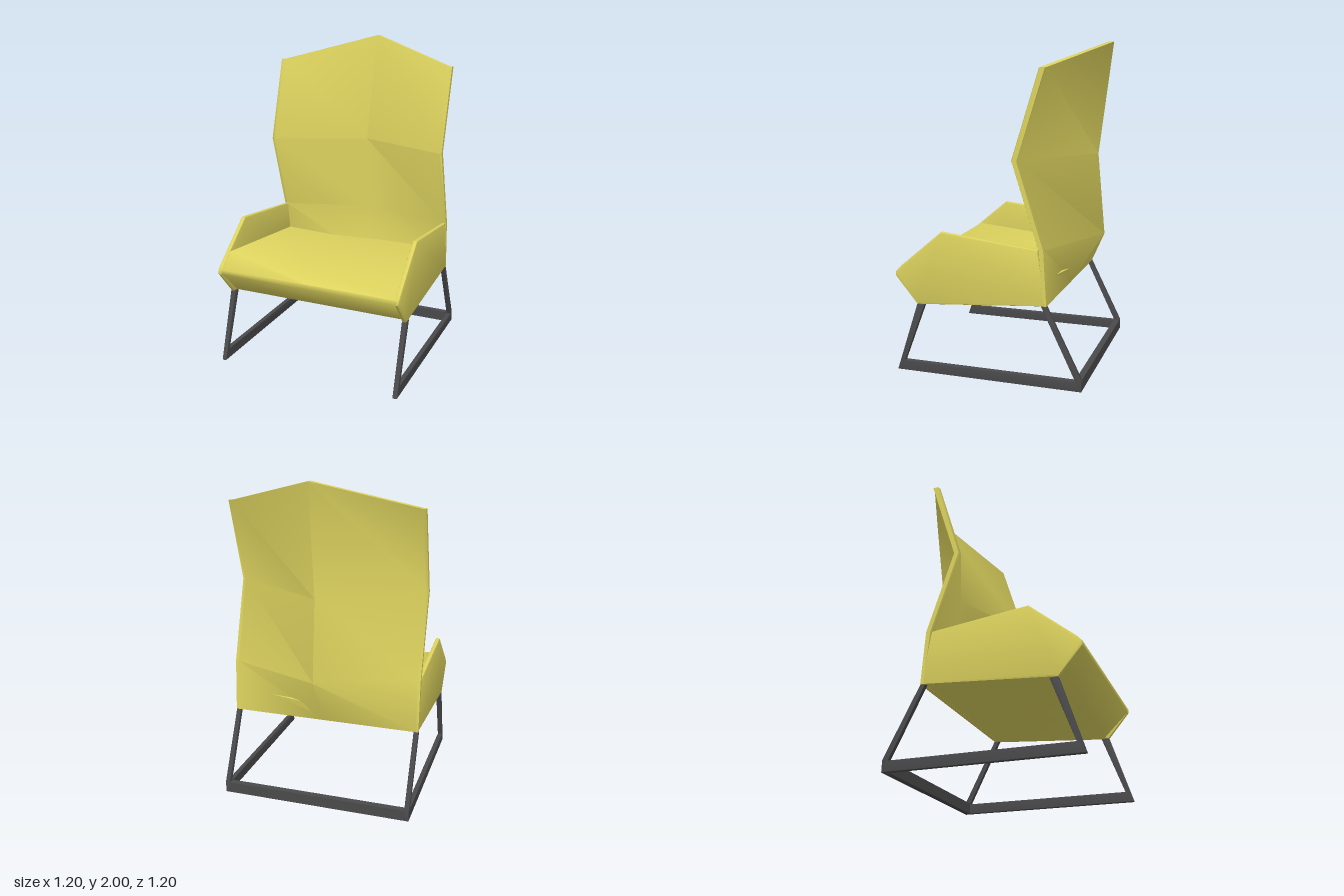
import * as THREE from 'three';
import { toCreasedNormals } from 'three/addons/utils/BufferGeometryUtils.js';

const HALF = 0.6, PANEL = 0.03;

// Skin closed [z, y] loops placed along +x; strip caps close both ends.
function loft(sections) {
  const pos = [];
  const pts = sections.map(({ x, loop }) => loop.map(([z, y]) => [x, y, z]));
  const quad = (a, b, c, d) => pos.push(...a, ...b, ...c, ...a, ...c, ...d);
  const n = pts[0].length, first = pts[0], last = pts[pts.length - 1];
  for (let s = 0; s < pts.length - 1; s++) {
    for (let i = 0; i < n; i++) {
      const j = (i + 1) % n;
      quad(pts[s][i], pts[s][j], pts[s + 1][j], pts[s + 1][i]);
    }
  }
  for (let i = 0; i < n / 2 - 1; i++) {
    quad(last[i], last[i + 1], last[n - 2 - i], last[n - 1 - i]);
    quad(first[n - 1 - i], first[n - 2 - i], first[i + 1], first[i]);
  }
  const geometry = new THREE.BufferGeometry();
  geometry.setAttribute('position', new THREE.Float32BufferAttribute(pos, 3));
  return toCreasedNormals(geometry, 0.9);
}

// Thin softened plate cut from a [z, y] outline, lying from x = -PANEL to 0.
function sidePlate(outline, bevel) {
  const shape = new THREE.Shape(outline.map(([z, y]) => new THREE.Vector2(z, y)));
  const geometry = new THREE.ExtrudeGeometry(shape, {
    depth: PANEL - 2 * bevel, bevelThickness: bevel, bevelSize: bevel,
    bevelOffset: -bevel, bevelSegments: 2,
  });
  geometry.translate(0, 0, bevel).rotateY(-Math.PI / 2);
  return toCreasedNormals(geometry, 0.7);
}

export function createModel() {
  const group = new THREE.Group();
  const upholstery = new THREE.MeshStandardMaterial({ color: 0xdcd25e });
  upholstery.name = 'yellow upholstery';
  const metal = new THREE.MeshStandardMaterial({ color: 0x4a4a4c });
  metal.name = 'dark metal';

  const add = (name, geometry, material, x = 0, y = 0, z = 0) => {
    const mesh = new THREE.Mesh(geometry, material);
    mesh.name = name;
    mesh.position.set(x, y, z);
    group.add(mesh);
  };

  // Backrest: folded along a centre spine and pinched forward halfway up
  const backEdge = [[-0.355, 0.49], [-0.335, 0.815], [-0.175, 1.32], [-0.34, 1.84]];
  const backSpine = [[-0.355, 0.49], [-0.562, 0.815], [-0.515, 1.32], [-0.6, 2]];
  const frontEdge = [[-0.33, 0.49], [-0.3, 0.815], [-0.138, 1.32], [-0.3, 1.84]];
  const frontSpine = [[-0.33, 0.49], [-0.47, 0.815], [-0.388, 1.32], [-0.565, 2]];
  const edge = [...backEdge, ...frontEdge.slice().reverse()];
  const rim = [...backEdge, ...frontEdge.map(([z, y]) => [z - 0.008, y]).reverse()];
  const spine = [...backSpine, ...frontSpine.slice().reverse()];
  add('backrest', loft([
    { x: -HALF, loop: rim }, { x: -0.58, loop: edge }, { x: 0, loop: spine },
    { x: 0.58, loop: edge }, { x: HALF, loop: rim },
  ]), upholstery);

  // Seat: dished towards the centre with a straight front lip
  const seatLoop = (rear, crest) => [
    [-0.345, 0.492], rear, crest, [0.597, 0.625], [0.597, 0.595], [0.43, 0.432],
  ];
  const seatSide = seatLoop([-0.32, 0.63], [0.49, 0.715]);
  const seatMiddle = seatLoop([-0.39, 0.6], [0.52, 0.66]);
  add('seat', loft([
    { x: -0.585, loop: seatSide }, { x: 0, loop: seatMiddle }, { x: 0.585, loop: seatSide },
  ]), upholstery);

  // Arm panels and leg frames, one pair on each side
  const arm = sidePlate([
    [-0.353, 0.49], [0.435, 0.43], [0.46, 0.43], [0.6, 0.595], [0.6, 0.62],
    [0.575, 0.65], [0.295, 0.885], [-0.3, 0.815],
  ].reverse(), 0.01);
  const legs = sidePlate([
    [0.46, 0.43], [0.6, 0], [-0.565, 0], [-0.565, 0.07], [-0.355, 0.49],
    [-0.322, 0.488], [-0.527, 0.065], [0.548, 0.065], [0.41, 0.43],
  ], 0.005);
  for (const [side, x] of [['left', HALF], ['right', PANEL - HALF]]) {
    add(side + 'Arm', arm, upholstery, x);
    add(side + 'LegFrame', legs, metal, x);
  }

  // Cross rail joining the leg frames at the back
  add('rearRail', new THREE.BoxGeometry(2 * (HALF - PANEL), 0.068, 0.038), metal, 0, 0.034, -0.546);

  return group;
}
